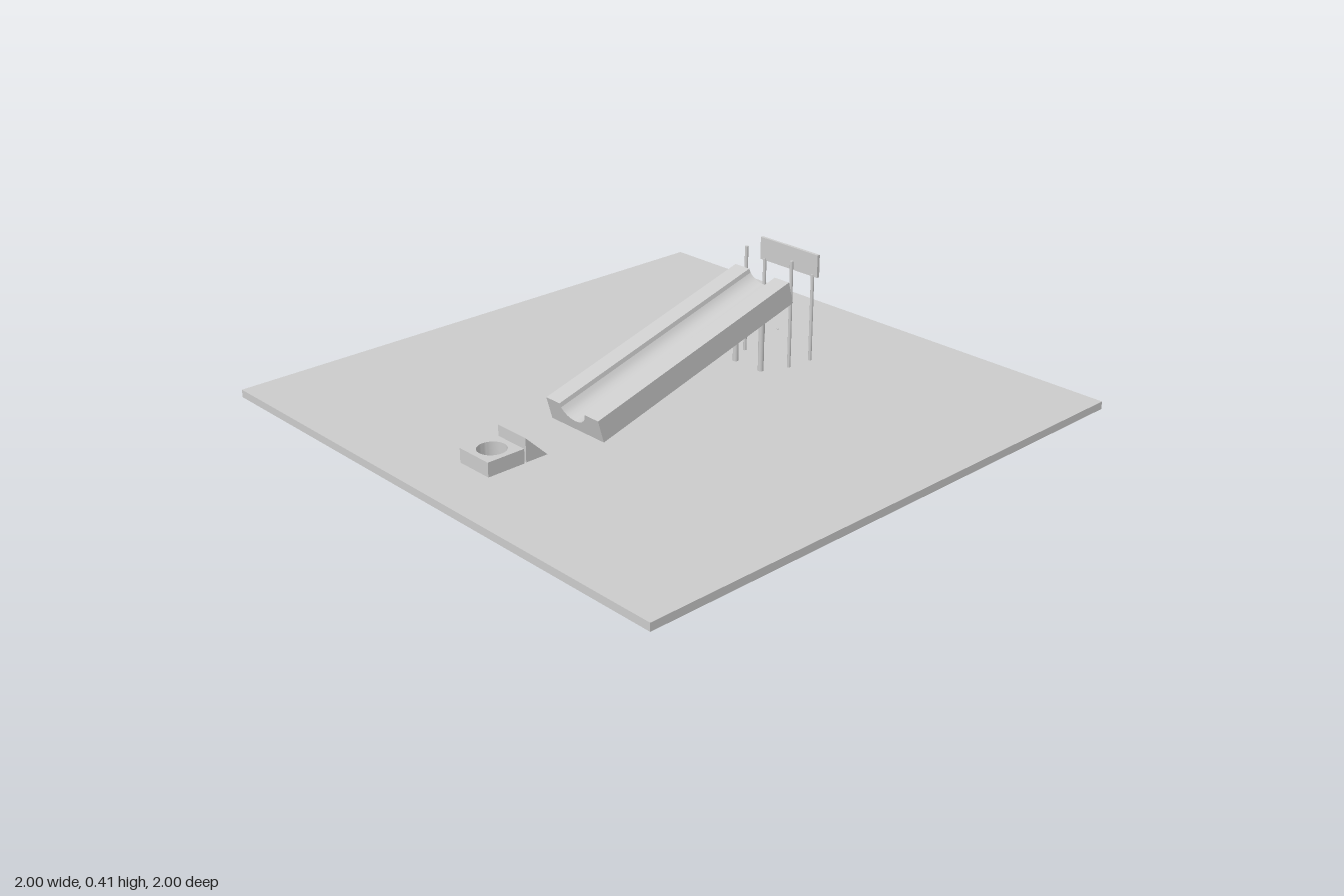
import * as THREE from 'three';
import { toCreasedNormals } from 'three/addons/utils/BufferGeometryUtils.js';

const GROUND = 0.027;

export function createModel() {
  const model = new THREE.Group();
  const grey = new THREE.MeshStandardMaterial({ color: 0xcccccc });
  const thin = new THREE.MeshStandardMaterial({ color: 0xcccccc, side: THREE.DoubleSide });

  const add = (name, geometry, x, y, z, material = grey) => {
    const mesh = new THREE.Mesh(geometry, material);
    mesh.name = name;
    mesh.position.set(x, y, z);
    model.add(mesh);
    return mesh;
  };
  const extrude = (shape, depth, curveSegments = 24) => {
    const g = new THREE.ExtrudeGeometry(shape, { depth, bevelEnabled: false, curveSegments });
    g.translate(0, 0, -depth / 2);
    return toCreasedNormals(g, 0.35);
  };
  // Mirrored pair of upright round posts standing on the ground sheet
  const posts = (name, x, z, top, radius) => {
    const h = top - GROUND;
    for (const [side, s] of [['left', 1], ['right', -1]]) {
      add(side + name, new THREE.CylinderGeometry(radius, radius, h, 16), s * x, GROUND + h / 2, z);
    }
  };

  // Ground: a thin sheet with a skirt, open underneath
  add('groundSheet', new THREE.PlaneGeometry(2, 2).rotateX(-Math.PI / 2), 0, GROUND, 0, thin);
  for (let i = 0; i < 4; i++) {
    const skirt = new THREE.PlaneGeometry(2, GROUND).translate(0, GROUND / 2, 1);
    add('groundSkirt', skirt.rotateY(i * Math.PI / 2), 0, 0, 0, thin);
  }

  // Sloping chute with a faceted, steep-sided groove along its top
  const w = 0.125, t = 0.041, r = 0.06;
  const profile = new THREE.Shape();
  profile.moveTo(-w, -t);
  profile.lineTo(w, -t);
  profile.lineTo(w, t);
  profile.lineTo(r, t);
  profile.absellipse(0, t, r, 0.047, 0, -Math.PI, true);
  profile.lineTo(-w, t);
  profile.closePath();
  add('chute', extrude(profile, 0.878, 5), 0, 0.188, -0.019).rotation.x = 0.277;

  // Uprights: chute supports, tall rods and sign posts
  posts('ChuteLeg', 0.06, -0.371, 0.262, 0.01);
  posts('Rod', 0.105, -0.462, 0.41, 0.006);
  posts('SignPost', 0.112, -0.56, 0.34, 0.006);
  add('signBoard', new THREE.BoxGeometry(0.265, 0.08, 0.011), 0, 0.373, -0.565);

  // Thin step plate behind the chute, with a small stud above it
  add('stepPlate', new THREE.PlaneGeometry(0.145, 0.037).rotateX(-Math.PI / 2), 0, 0.08, -0.516, thin);
  add('stepStud', new THREE.SphereGeometry(0.003, 10, 8), 0, 0.122, -0.514);

  // Ramp rising away from the chute
  const wedge = new THREE.Shape();
  wedge.moveTo(-0.653, 0);
  wedge.lineTo(-0.57, 0);
  wedge.lineTo(-0.653, 0.081);
  wedge.closePath();
  add('ramp', extrude(wedge, 0.134), 0, GROUND, 0).rotation.y = Math.PI / 2;

  // Catch box with a round hole
  const box = new THREE.Shape();
  box.moveTo(-0.069, -0.069);
  box.lineTo(0.069, -0.069);
  box.lineTo(0.069, 0.069);
  box.lineTo(-0.069, 0.069);
  box.closePath();
  const hole = new THREE.Path();
  hole.absarc(0, 0, 0.048, 0, Math.PI * 2, true);
  box.holes.push(hole);
  add('catchBox', extrude(box, 0.049), 0, GROUND + 0.0245, 0.73).rotation.x = -Math.PI / 2;

  return model;
}
